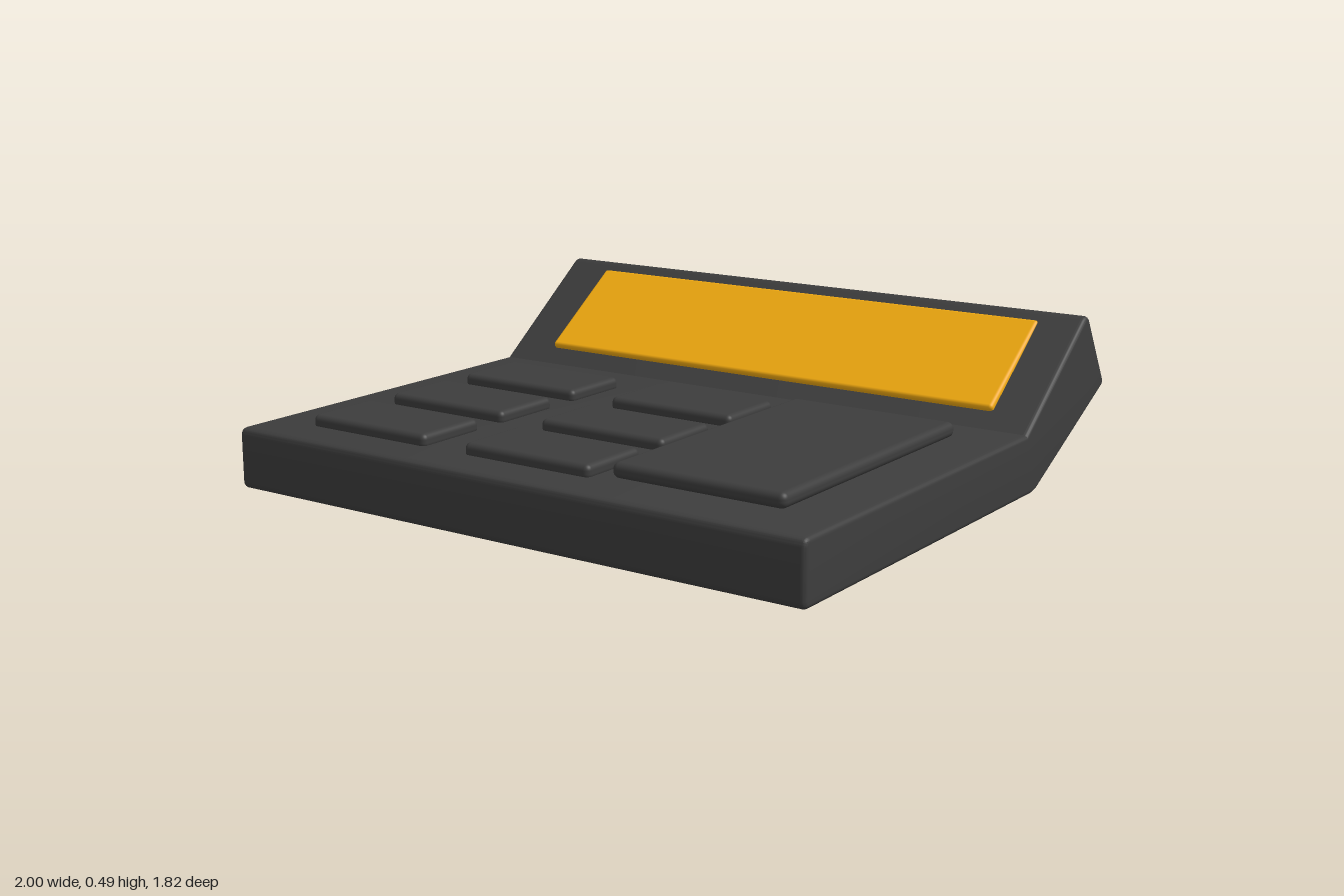
import * as THREE from 'three';
import { toCreasedNormals } from 'three/addons/utils/BufferGeometryUtils.js';
import { RoundedBoxGeometry } from 'three/addons/geometries/RoundedBoxGeometry.js';

const dark = new THREE.MeshStandardMaterial({ color: 0x3d3d3d });
const amber = new THREE.MeshStandardMaterial({ color: 0xf2aa10 });

// Closed outline with its corners rounded; each point is [z, y, radius].
function roundedOutline(points) {
  const shape = new THREE.Shape();
  points.forEach(([z, y, r], i) => {
    const p = new THREE.Vector2(z, y);
    const toward = (q) => new THREE.Vector2(q[0], q[1]).sub(p).setLength(r).add(p);
    const a = toward(points.at(i - 1));
    const b = toward(points[(i + 1) % points.length]);
    if (i === 0) shape.moveTo(a.x, a.y);
    else shape.lineTo(a.x, a.y);
    if (r > 0) shape.quadraticCurveTo(z, y, b.x, b.y);
  });
  shape.closePath();
  return shape;
}

// Side profile swept across the full width, with softened side edges
function createBody() {
  const bevel = 0.015;
  const depth = 2 - 2 * bevel;
  const outline = roundedOutline([
    [-0.42, 0, 0.025],
    [0.91, 0, 0.025],
    [0.91, 0.19, 0.025],
    [-0.355, 0.19, 0],
    [-0.765, 0.5, 0.035],
    [-0.915, 0.25, 0.025],
  ]);
  const geometry = new THREE.ExtrudeGeometry(outline, {
    depth,
    curveSegments: 6,
    bevelThickness: bevel,
    bevelSize: bevel,
    bevelOffset: -bevel,
    bevelSegments: 5,
  });
  geometry.translate(0, 0, -depth / 2).rotateY(-Math.PI / 2);
  const body = new THREE.Mesh(toCreasedNormals(geometry, 0.35), dark);
  body.name = 'body';
  return body;
}

// Soft-edged plate given by its centre and size
function plate(name, material, [x, y, z], [w, h, d], radius) {
  const mesh = new THREE.Mesh(new RoundedBoxGeometry(w, h, d, 4, radius), material);
  mesh.position.set(x, y, z);
  mesh.name = name;
  return mesh;
}

export function createModel() {
  const model = new THREE.Group();
  model.name = 'keypadConsole';
  model.add(createBody());

  // Display set into the raised back panel
  const screen = plate('screen', amber, [0.01, 0.343, -0.57], [1.69, 0.04, 0.385], 0.012);
  screen.rotation.x = 0.615;
  model.add(screen);

  // Two columns of three small keys
  const keys = new THREE.Group();
  keys.name = 'smallKeys';
  for (const x of [-0.61, -0.01]) {
    for (const z of [-0.06, 0.292, 0.642]) {
      keys.add(plate('smallKey', dark, [x, 0.202, z], [0.45, 0.046, 0.247], 0.018));
    }
  }
  model.add(keys);

  // Large key, raised just clear of the deck
  model.add(plate('largeKey', dark, [0.573, 0.226, 0.296], [0.556, 0.046, 0.948], 0.02));
  return model;
}
